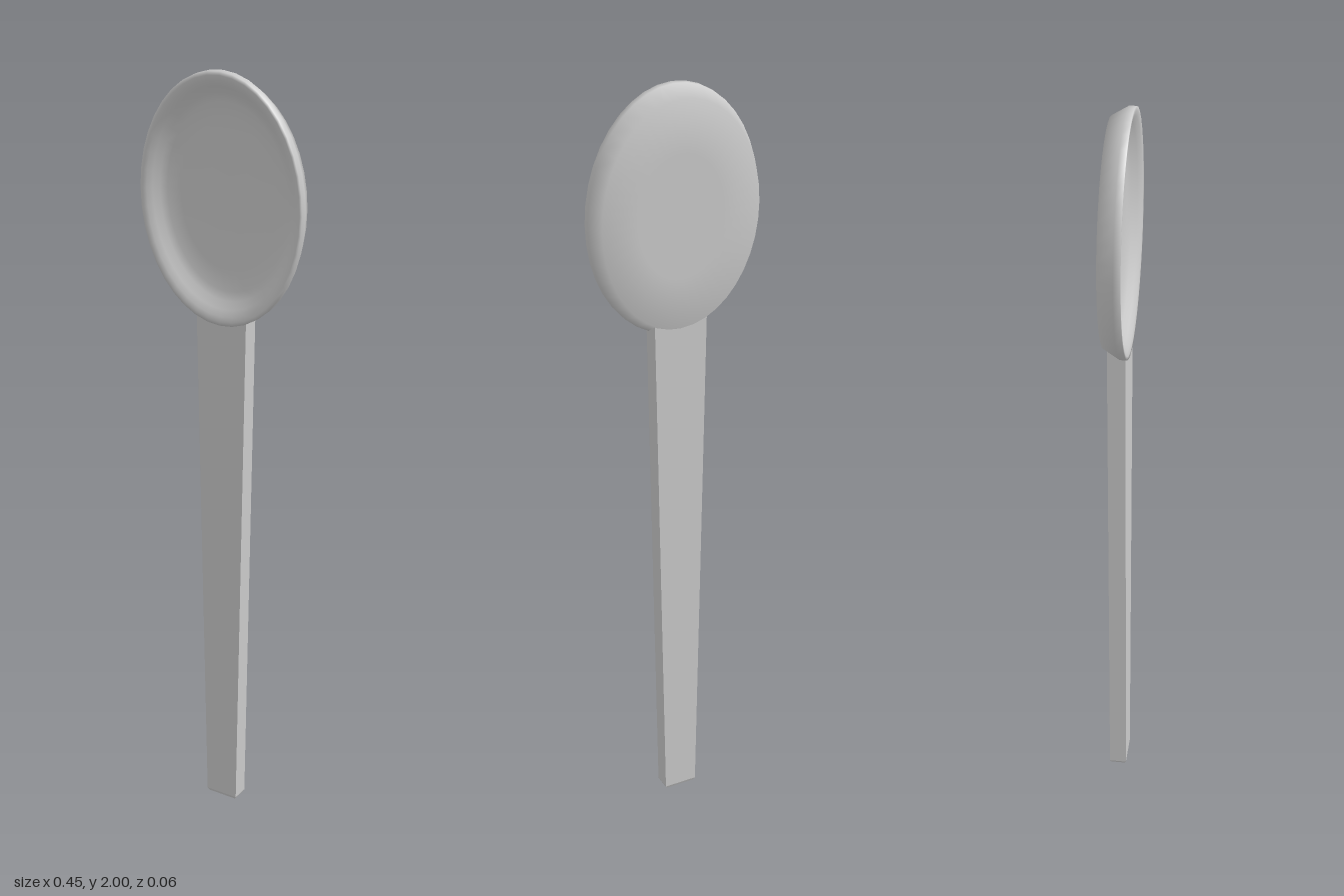
import * as THREE from 'three';

const RX = 0.227, RY = 0.315, CY = 1.685; // bowl half sizes and centre height

// Oval bowl: a unit-radius profile (radius, depth) turned, then stretched
function bowlGeometry() {
  const profile = [
    [0, -0.03], [0.5, -0.03], [0.92, -0.03], [1, 0.01], [1, 0.027], [0.97, 0.027],
    [0.93, 0.024], [0.88, 0.015], [0.82, 0.002], [0.75, -0.007], [0.6, -0.014],
    [0.3, -0.019], [0, -0.02],
  ].map(([r, z]) => new THREE.Vector2(r, z));
  const g = new THREE.LatheGeometry(profile, 40);
  g.rotateX(Math.PI / 2);
  g.scale(RX, RY, 1);
  g.translate(0, CY, 0);
  return g;
}

// Flat handle: widens upward, bevelled at the foot, slanted top tucked in the bowl wall
function handleGeometry() {
  const g = new THREE.BoxGeometry(2, 2, 2, 1, 2, 1);
  const p = g.attributes.position;
  for (let i = 0; i < p.count; i++) {
    const sx = p.getX(i), row = Math.round(p.getY(i)), sz = p.getZ(i);
    const halfWidth = [0.041, 0.045, 0.071][row + 1];
    const halfDepth = row < 0 ? 0.019 : 0.0225;
    const y = [0, 0.008, sz > 0 ? 1.39 : 1.42][row + 1];
    p.setXYZ(i, sx * halfWidth, y, -0.0025 + sz * halfDepth);
  }
  const flat = g.toNonIndexed();
  flat.computeVertexNormals();
  return flat;
}

export function createModel() {
  const group = new THREE.Group();
  group.name = 'spoon';
  const parts = { bowl: bowlGeometry(), handle: handleGeometry() };
  for (const [name, geometry] of Object.entries(parts)) {
    const mesh = new THREE.Mesh(geometry, new THREE.MeshStandardMaterial({
      color: 0xcccccc, flatShading: name === 'handle',
    }));
    mesh.name = name;
    group.add(mesh);
  }
  return group;
}
